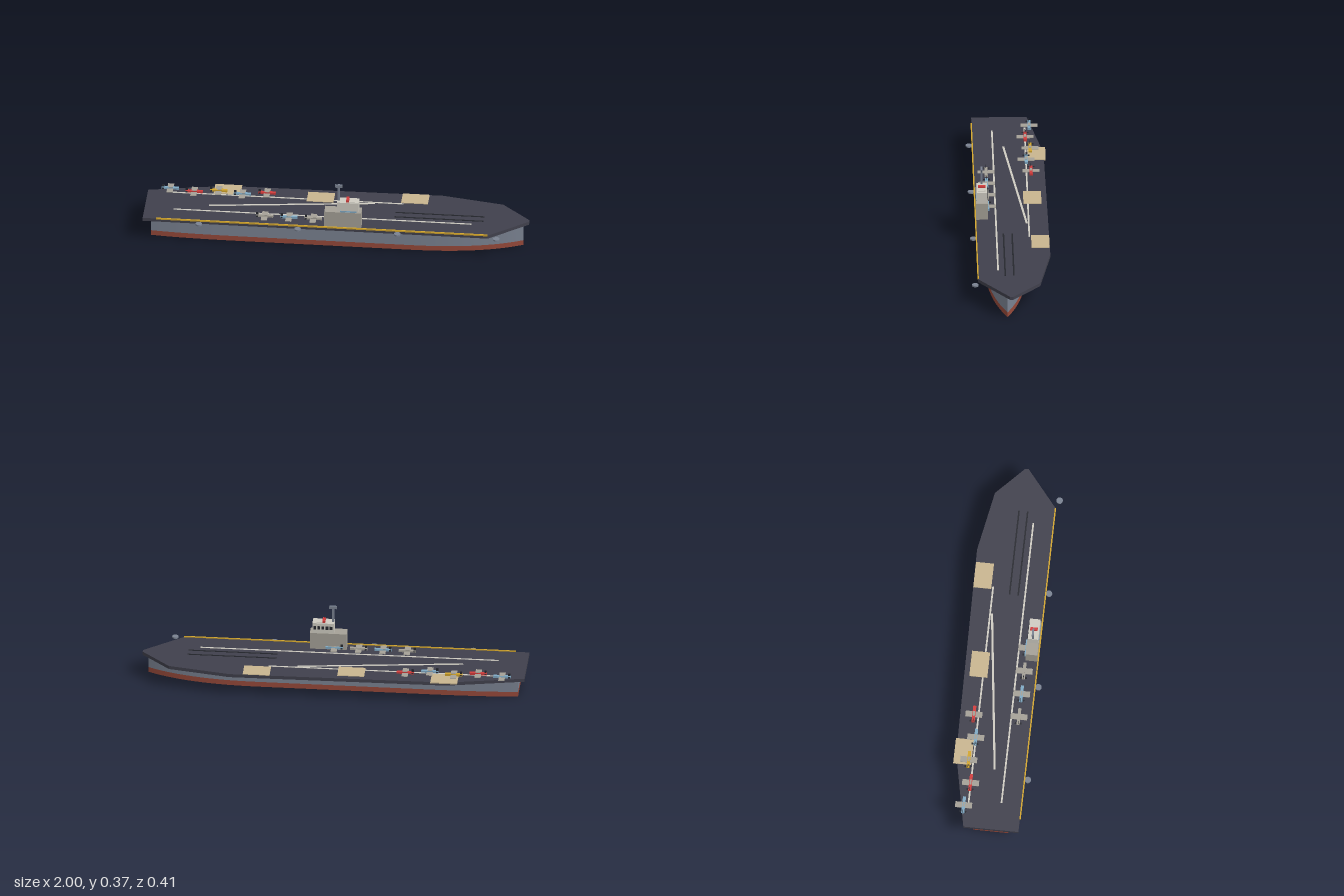
import * as THREE from 'three';
import { toCreasedNormals } from 'three/addons/utils/BufferGeometryUtils.js';

function material(name, color) {
  const m = new THREE.MeshStandardMaterial({ color });
  m.name = name;
  return m;
}

export function createModel() {
  const ship = new THREE.Group();
  ship.name = 'aircraftCarrier';

  const hullGrey = material('hull grey', 0x7a8291);
  const keelRed = material('keel red', 0x96493a);
  const deckGrey = material('deck charcoal', 0x40404c);
  const islandGrey = material('island grey', 0xa5a197);
  const cream = material('cream', 0xcfccc2);
  const tan = material('lift tan', 0xc8b58f);
  const yellow = material('yellow', 0xd2a52c);
  const blue = material('light blue', 0x7fa9c4);
  const red = material('red', 0xd23c3c);
  const dark = material('dark', 0x25272e);

  const add = (parent, name, geometry, mat, x = 0, y = 0, z = 0) => {
    const mesh = new THREE.Mesh(geometry, mat);
    mesh.name = name;
    mesh.position.set(x, y, z);
    parent.add(mesh);
    return mesh;
  };
  // Box given by its lower and upper limits on each axis
  const box = (parent, name, mat, x0, x1, y0, y1, z0, z1) =>
    add(parent, name, new THREE.BoxGeometry(x1 - x0, y1 - y0, z1 - z0), mat,
      (x0 + x1) / 2, (y0 + y1) / 2, (z0 + z1) / 2);
  // Plan outline (x, z) raised between two heights
  const slab = (name, shape, mat, y0, y1) => {
    const g = new THREE.ExtrudeGeometry(shape, { depth: y1 - y0, bevelEnabled: false, curveSegments: 16 });
    g.rotateX(Math.PI / 2);
    return add(ship, name, toCreasedNormals(g, 0.4), mat, 0, y1, 0);
  };

  // Hull with a pointed, curved bow and a slightly narrower stern
  const mid = 0.024, half = 0.109;
  const plan = new THREE.Shape();
  plan.moveTo(-0.963, mid - 0.092);
  plan.quadraticCurveTo(-0.8, mid - half, -0.5, mid - half);
  plan.lineTo(0.4, mid - half);
  plan.quadraticCurveTo(0.76, mid - half, 0.973, mid);
  plan.quadraticCurveTo(0.76, mid + half, 0.4, mid + half);
  plan.lineTo(-0.5, mid + half);
  plan.quadraticCurveTo(-0.8, mid + half, -0.963, mid + 0.092);
  plan.closePath();
  slab('lowerHull', plan, keelRed, 0, 0.028);
  slab('upperHull', plan, hullGrey, 0.028, 0.116);

  // Flight deck
  const deckPlan = new THREE.Shape([
    [-1, -0.115], [-0.6, -0.195], [0.53, -0.207], [0.85, -0.148],
    [1, -0.005], [1, 0.012], [0.8, 0.174], [-1, 0.172],
  ].map(([x, z]) => new THREE.Vector2(x, z)));
  slab('flightDeck', deckPlan, deckGrey, 0.115, 0.133);

  // Deck markings
  const strip = (name, mat, x0, z0, x1, z1, width) => {
    const length = Math.hypot(x1 - x0, z1 - z0);
    const m = add(ship, name, new THREE.BoxGeometry(length, 0.003, width), mat,
      (x0 + x1) / 2, 0.1335, (z0 + z1) / 2);
    m.rotation.y = -Math.atan2(z1 - z0, x1 - x0);
  };
  strip('portLine', cream, -0.88, -0.102, 0.335, -0.102, 0.009);
  strip('starboardLine', cream, -0.85, 0.068, 0.705, 0.068, 0.009);
  strip('angledLine', cream, -0.67, 0.013, 0.185, -0.092, 0.011);
  strip('catapultTrack', dark, 0.3, -0.013, 0.765, -0.013, 0.008);
  strip('catapultTrack', dark, 0.3, 0.032, 0.765, 0.032, 0.008);
  box(ship, 'edgeStripe', yellow, -0.93, 0.8, 0.13, 0.138, 0.17, 0.177);

  // Aircraft lifts
  for (const [x, z] of [[-0.588, -0.158], [-0.1, -0.126], [0.39, -0.158]]) {
    box(ship, 'aircraftLift', tan, x - 0.07, x + 0.07, 0.13, 0.136, z - 0.047, z + 0.047);
  }

  // Side platforms
  for (const x of [-0.705, -0.19, 0.33, 0.847]) {
    add(ship, 'sidePlatform', new THREE.CylinderGeometry(0.017, 0.017, 0.008, 16), hullGrey, x, 0.123, 0.19);
  }

  // Island tower
  const island = new THREE.Group();
  island.name = 'island';
  ship.add(island);
  box(island, 'islandBase', islandGrey, -0.053, 0.139, 0.133, 0.225, 0.109, 0.17);
  box(island, 'bridge', cream, 0.013, 0.126, 0.225, 0.282, 0.1125, 0.167);
  box(island, 'bridgeBand', blue, 0.03, 0.115, 0.226, 0.234, 0.16, 0.169);
  for (let i = 0; i < 5; i++) {
    const x = 0.022 + i * 0.021;
    box(island, 'bridgeWindow', dark, x, x + 0.014, 0.247, 0.265, 0.11, 0.114);
  }
  box(island, 'roofBlock', red, 0.06, 0.075, 0.282, 0.294, 0.12, 0.159);
  box(island, 'roofPlate', cream, 0.075, 0.105, 0.282, 0.285, 0.12, 0.159);
  box(island, 'mast', hullGrey, 0.0145, 0.0255, 0.225, 0.374, 0.134, 0.145);
  box(island, 'mastHead', hullGrey, 0, 0.04, 0.358, 0.373, 0.1345, 0.1445);
  box(island, 'mastPanel', dark, 0.0395, 0.041, 0.359, 0.371, 0.138, 0.141);

  // Parked aircraft, noses toward the bow
  const aircraft = (x, z, mat) => {
    const plane = new THREE.Group();
    plane.name = 'aircraft';
    plane.position.set(x, 0.133, z);
    box(plane, 'fuselage', mat, -0.045, 0.045, 0.007, 0.018, -0.008, 0.008);
    box(plane, 'wing', islandGrey, -0.016, 0.016, 0.01, 0.013, -0.044, 0.044);
    box(plane, 'canopy', islandGrey, -0.012, 0.014, 0.018, 0.02, -0.005, 0.005);
    box(plane, 'tailplane', dark, -0.043, -0.033, 0.014, 0.016, -0.018, 0.018);
    box(plane, 'tailFin', dark, -0.044, -0.032, 0.016, 0.032, -0.0015, 0.0015);
    ship.add(plane);
  };
  [blue, red, yellow, blue, red].forEach((mat, i) =>
    aircraft(-0.885 + i * 0.126, i % 2 ? -0.103 : -0.126, mat));
  [islandGrey, blue, islandGrey, blue].forEach((mat, i) =>
    aircraft(-0.37 + i * 0.127, 0.108, mat));

  return ship;
}
